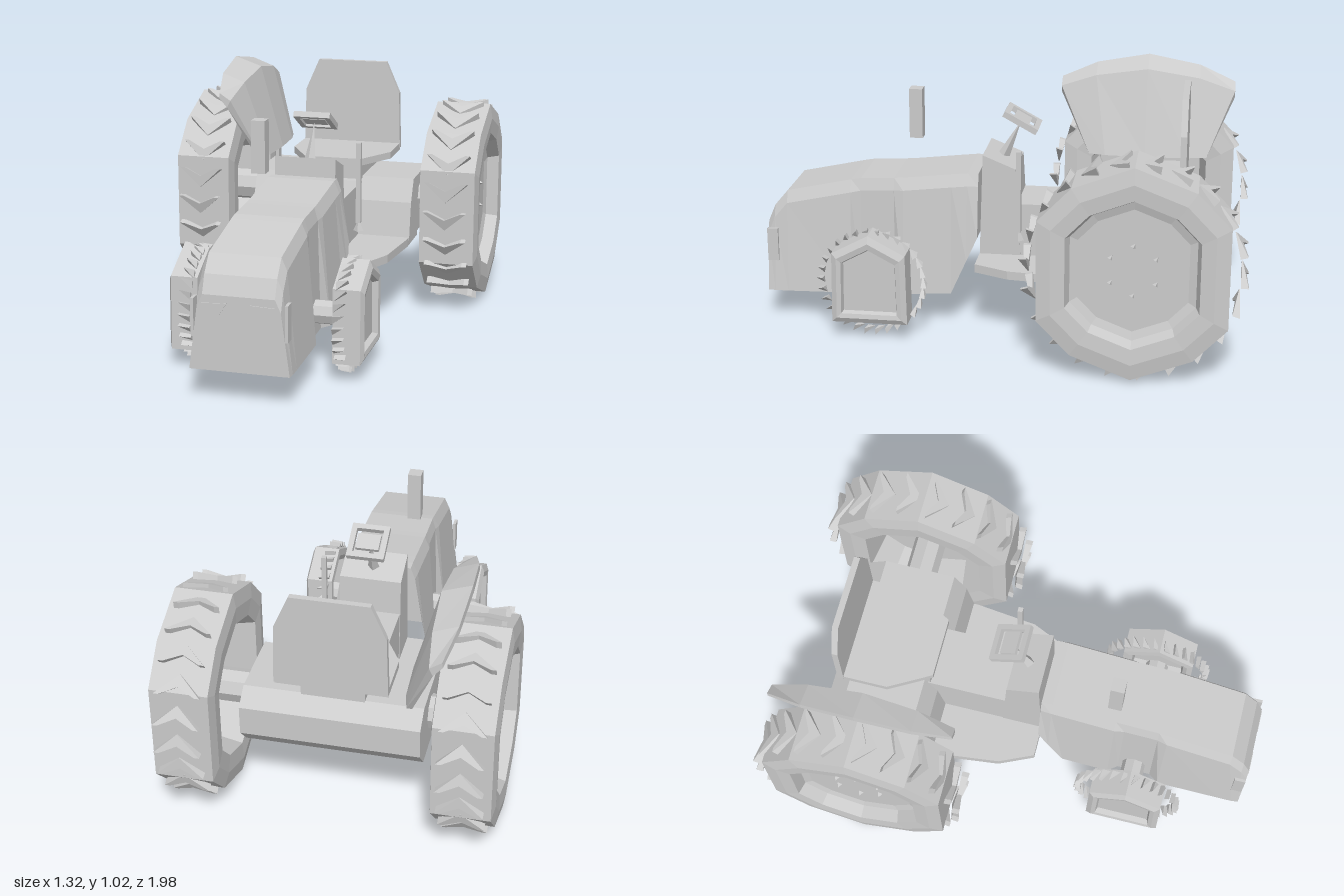
import * as THREE from 'three';

const grey = new THREE.MeshStandardMaterial({ color: 0xcccccc, flatShading: true });
const greyOpen = new THREE.MeshStandardMaterial({ color: 0xcccccc, flatShading: true, side: THREE.DoubleSide });

function add(parent, name, geometry, x = 0, y = 0, z = 0, material = grey) {
  const mesh = new THREE.Mesh(geometry, material);
  mesh.name = name;
  mesh.position.set(x, y, z);
  parent.add(mesh);
  return mesh;
}

// Skin between loops of points, counter-clockwise seen from the last loop
function loft(loops, closed = true, caps = false) {
  const n = loops[0].length, index = [];
  for (let i = 0; i < loops.length - 1; i++) {
    for (let j = 0; j < (closed ? n : n - 1); j++) {
      const k = (j + 1) % n, a = i * n, b = a + n;
      index.push(a + j, a + k, b + k, a + j, b + k, b + j);
    }
  }
  // Caps pair opposite points, so a bent section is filled correctly
  const last = (loops.length - 1) * n;
  for (let j = 0; caps && j < n / 2 - 1; j++) {
    const tris = [j, j + 1, n - 2 - j, j, n - 2 - j, n - 1 - j];
    index.push(...tris.map(v => v + last), ...tris.reverse());
  }
  const g = new THREE.BufferGeometry();
  g.setAttribute('position', new THREE.Float32BufferAttribute(loops.flat(2), 3));
  g.setIndex(index);
  const flat = g.toNonIndexed();
  flat.computeVertexNormals();
  return flat;
}

function extrude(points, depth) {
  const shape = new THREE.Shape(points.map(p => new THREE.Vector2(...p)));
  return new THREE.ExtrudeGeometry(shape, { depth, bevelEnabled: false });
}
// Outline in (x, z), top face at y = 0
const slab = (points, depth) => extrude(points, depth).rotateX(Math.PI / 2);
// Outline in (z, y), centred across x
const across = (points, width) => extrude(points, width).translate(0, 0, -width / 2).rotateY(-Math.PI / 2);

// Faceted wheel: outline in (z, y), profile of (x, scale)
const wheelBody = (outline, profile) =>
  loft(profile.map(([x, s]) => outline.map(([z, y]) => [x, y * s, z * s])));

// Tread lug whose outer face slopes from full height at the top to nothing at its tip
function wedgeLug(points, depth) {
  const g = extrude(points, depth), p = g.attributes.position;
  const ys = points.map(q => q[1]), low = Math.min(...ys), high = Math.max(...ys);
  for (let i = 0; i < p.count; i++) {
    p.setZ(i, p.getZ(i) * (.12 + .88 * (p.getY(i) - low) / (high - low)));
  }
  g.computeVertexNormals();
  return g;
}

function ringOfLugs(parent, geometry, count, radius) {
  for (let i = 0; i < count; i++) {
    const a = (i / count) * Math.PI * 2;
    const lug = add(parent, 'treadLug', geometry, 0, -Math.sin(a) * radius, Math.cos(a) * radius);
    lug.rotation.x = a;
  }
}

function rearWheel(side) {
  const g = new THREE.Group();
  g.name = side > 0 ? 'leftRearWheel' : 'rightRearWheel';
  const outline = [[0, .425], [.235, .335], [.365, .2], [.365, -.2], [.235, -.335], [0, -.425],
    [-.235, -.335], [-.365, -.2], [-.365, .2], [-.235, .335]];
  add(g, 'tireAndRim', wheelBody(outline, [[.035, .001], [.035, .6], [-.12, .68], [-.125, .85], [-.115, 1],
    [.115, 1], [.125, .85], [.12, .7], [.07, .66], [.06, .58], [.06, .001]]));
  const chevron = wedgeLug([[0, -.042], [.09, .038], [.07, .038], [0, .004], [-.07, .038], [-.09, .038]], .03);
  ringOfLugs(g, chevron, 22, .405);
  for (let i = 0; i < 6; i++) {
    const a = (i / 6) * Math.PI * 2;
    add(g, 'wheelBolt', new THREE.ConeGeometry(.014, .02, 3).rotateZ(-Math.PI / 2), .068, Math.cos(a) * .1, Math.sin(a) * .1);
  }
  g.position.set(side * .537, .445, -.56);
  g.scale.x = side;
  return g;
}

function frontWheel(side) {
  const g = new THREE.Group();
  g.name = side > 0 ? 'leftFrontWheel' : 'rightFrontWheel';
  const outline = [[0, .22], [.15, .14], [.155, -.155], [-.155, -.155], [-.15, .14]];
  add(g, 'tireAndRim', wheelBody(outline, [[.02, .001], [.02, .68], [-.05, .74], [-.06, .85], [-.058, 1],
    [.05, 1], [.062, .86], [.058, .74], [.035, .7], [.035, .001]]));
  ringOfLugs(g, wedgeLug([[-.045, -.022], [0, .012], [-.045, .006]], .024), 30, .203);
  g.position.set(side * .326, .235, .515);
  g.scale.x = side;
  return g;
}

export function createModel() {
  const model = new THREE.Group();
  model.name = 'tractor';

  // Wheels and axles
  for (const side of [1, -1]) model.add(rearWheel(side), frontWheel(side));
  add(model, 'frontAxle', new THREE.CylinderGeometry(.048, .048, .6, 8).rotateZ(Math.PI / 2), 0, .23, .515);
  add(model, 'rearAxle', new THREE.CylinderGeometry(.068, .068, 1.15, 8).rotateZ(Math.PI / 2), 0, .445, -.56);

  // Hood, open below, sides pinched at the front axle: z, top y, bottom y, bottom and shoulder half widths
  const hood = [[.1, .66, .4, .19, .157], [.145, .66, .3, .195, .16], [.21, .653, .155, .195, .16],
    [.41, .63, .14, .195, .16], [.45, .627, .14, .165, .152], [.59, .62, .135, .165, .152], [.63, .613, .135, .195, .16],
    [.9, .555, .13, .195, .16], [.955, .49, .13, .195, .16], [.985, .42, .13, .192, .16]];
  add(model, 'hood', loft(hood.map(([z, t, b, w, s]) => [
    [w, b, z], [s, t - .05, z], [.138, t, z], [-.138, t, z], [-s, t - .05, z], [-w, b, z]]), false, true), 0, 0, 0, greyOpen);
  for (const side of [1, -1]) {
    const lamp = add(model, 'headlamp', extrude([[.045, .392], [.07, .35], [.14, .388]], .005), 0, 0, .984, greyOpen);
    lamp.scale.x = side;
    add(model, 'noseTrim', new THREE.BoxGeometry(.012, .14, .045), side * .18, .33, .96);
  }
  add(model, 'exhaust', new THREE.BoxGeometry(.056, .21, .055), -.096, .845, .395);

  // Dashboard and steering
  add(model, 'dashboard', across([[.1, .28], [.085, .735], [-.05, .68], [-.07, .31]], .255));
  const column = add(model, 'steeringColumn', new THREE.ConeGeometry(.025, .17, 4), 0, .775, -.02);
  column.rotation.x = -.45;
  const steering = new THREE.Group();
  steering.name = 'steeringWheel';
  for (let i = 0; i < 4; i++) {
    const bar = new THREE.Group();
    add(bar, 'rimSide', new THREE.BoxGeometry(.15, .024, .022), 0, 0, .066);
    bar.rotation.y = i * Math.PI / 2;
    steering.add(bar);
  }
  add(steering, 'hub', new THREE.BoxGeometry(.095, .016, .07));
  steering.position.set(.005, .862, -.062);
  steering.rotation.x = -.5;
  model.add(steering);
  add(model, 'lever', new THREE.BoxGeometry(.02, .34, .02), .188, .605, -.07);
  add(model, 'leverFoot', new THREE.ConeGeometry(.022, .05, 4), .188, .425, -.07);

  // Floor, tunnel and rear housing
  add(model, 'floor', slab([[-.257, .1], [.257, .1], [.32, -.04], [.35, -.3], [.35, -.5], [-.35, -.5], [-.35, -.3], [-.32, -.04]], .035), 0, .312, 0);
  add(model, 'tunnel', new THREE.BoxGeometry(.25, .235, .4), 0, .415, -.25);
  add(model, 'rearHousing', across([[-.32, .3], [-.35, .46], [-.4, .555], [-.7, .555], [-.775, .5], [-.775, .38], [-.7, .3]], .705));

  // Seat on a narrow pedestal
  add(model, 'seatCushion', slab([[.125, -.36], [.22, -.53], [.22, -.73], [-.22, -.73], [-.22, -.53], [-.125, -.36]], .03), 0, .638, 0);
  add(model, 'seatPedestal', new THREE.BoxGeometry(.25, .07, .33), 0, .58, -.54);
  add(model, 'seatBack', extrude([[-.222, 0], [.222, 0], [.215, .25], [.155, .387], [-.155, .387], [-.215, .25]], .025), 0, .618, -.738);

  // Single fender over the right rear wheel: z, drop of the top, inner and outer x shift, bottom z
  const fender = [[-.92, .09, .025, .045, -.81], [-.77, .035, .008, .012, -.73], [-.55, 0, 0, 0, -.55],
    [-.33, .035, .008, .012, -.38], [-.18, .09, .025, .045, -.31]];
  add(model, 'rightFender', loft(fender.map(([z, d, o, l, zb]) => [
    [-.28 - o, .63, zb], [-.38 - o, .99 - d, z], [-.497 + l, 1.03 - d * 1.1, z],
    [-.5 + l, 1 - d, z], [-.395 - o, .96 - d, z], [-.302 - o, .63, zb]]), true, true), 0, 0, 0, greyOpen);
  add(model, 'fenderBracket', new THREE.BoxGeometry(.014, .1, .04), -.3, .6, -.55);

  return model;
}
